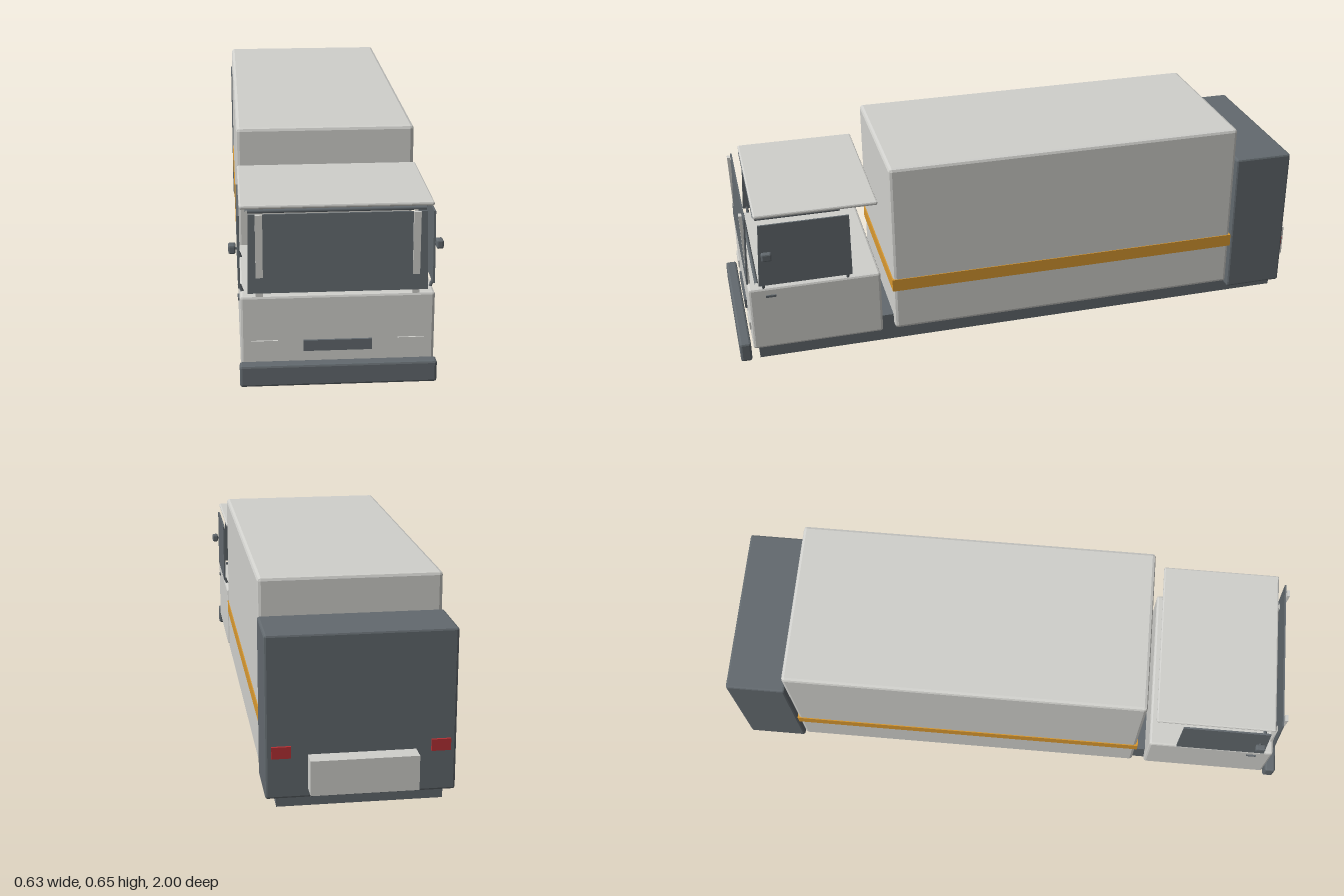
import * as THREE from 'three';
import { RoundedBoxGeometry } from 'three/addons/geometries/RoundedBoxGeometry.js';

const mat = (name, color, side = THREE.FrontSide) => {
  const m = new THREE.MeshStandardMaterial({ color, side });
  m.name = name;
  return m;
};

export function createModel() {
  const model = new THREE.Group();
  model.name = 'truck';
  const light = mat('pale grey', 0xd0d0cc);
  const dark = mat('slate grey', 0x62696e);
  const orange = mat('orange', 0xd89830);
  const red = mat('red', 0xb43034);

  const add = (name, geo, material, parent = model) => {
    const mesh = new THREE.Mesh(geo, material);
    mesh.name = name;
    parent.add(mesh);
    return mesh;
  };

  // Box given by its limits on each axis, with an optional chamfer
  const block = (name, [x0, x1], [y0, y1], [z0, z1], material, bevel = 0) => {
    const size = [x1 - x0, y1 - y0, z1 - z0];
    const geo = bevel ? new RoundedBoxGeometry(...size, 1, bevel) : new THREE.BoxGeometry(...size);
    if (bevel) geo.computeVertexNormals();
    const mesh = add(name, geo, material);
    mesh.position.set((x0 + x1) / 2, (y0 + y1) / 2, (z0 + z1) / 2);
    return mesh;
  };
  const sym = (w) => [-w, w];

  // Thin rod between two points
  const rod = (name, a, b, r) => {
    const curve = new THREE.LineCurve3(new THREE.Vector3(...a), new THREE.Vector3(...b));
    return add(name, new THREE.TubeGeometry(curve, 1, r, 8), dark);
  };

  // Flat plate cut from an outline
  const plate = (name, points, depth) => {
    const shape = new THREE.Shape(points.map(([x, y]) => new THREE.Vector2(x, y)));
    return add(name, new THREE.ExtrudeGeometry(shape, { depth, bevelEnabled: false }), dark);
  };

  // Chassis, cargo body and rear housing
  block('chassis', sym(0.25), [0, 0.095], [-0.91, 0.935], dark);
  block('cargoBody', sym(0.281), [0.055, 0.65], [-0.725, 0.48], light, 0.011);
  block('cargoStripe', sym(0.284), [0.203, 0.246], [-0.728, 0.484], orange);
  block('rearHousing', sym(0.284), [0.033, 0.535], [-0.93, -0.73], dark, 0.007);
  block('rearBox', sym(0.16), [0.068, 0.175], [-1, -0.945], light);

  // Cab body, roof and bumper
  block('cabBody', sym(0.283), [0.055, 0.28], [0.522, 0.955], light, 0.008);
  block('cabRoof', sym(0.281), [0.53, 0.543], [0.52, 0.917], light, 0.005);
  block('frontBumper', sym(0.287), [0.015, 0.082], [0.963, 1], dark, 0.007);
  block('grille', sym(0.1), [0.108, 0.141], [0.953, 0.962], dark);

  // Windscreen, leaning back slightly
  const screen = plate('windscreen', [[-0.261, 0], [0.261, 0], [0.256, 0.235], [-0.256, 0.235]], 0.005);
  screen.position.set(0, 0.29, 0.952);
  screen.rotation.x = -0.05;

  // Cross rails above the cab body and below the roof
  for (const [y, z] of [[0.285, 0.925], [0.524, 0.912]]) {
    rod('crossRail', [-0.258, y, z], [0.258, y, z], 0.006);
  }

  // Parts repeated on both sides
  for (const s of [-1, 1]) {
    const span = (a, b) => (s > 0 ? [a, b] : [-b, -a]);
    block('headlight', span(0.175, 0.253), [0.115, 0.142], [0.953, 0.96], light);
    block('tailLight', span(0.208, 0.266), [0.162, 0.198], [-0.938, -0.929], red);
    block('mirror', span(0.292, 0.313), [0.392, 0.419], [0.872, 0.905], dark, 0.005);
    block('doorHandle', span(0.282, 0.288), [0.247, 0.254], [0.866, 0.9], dark);

    // Side window, drawn as z against y
    const win = plate('sideWindow', [[-0.92, 0.293], [-0.615, 0.293], [-0.615, 0.51], [-0.906, 0.51]], 0.006);
    win.rotation.y = Math.PI / 2;
    win.position.x = s * 0.284 - 0.003;

    rod('mirrorArm', [s * 0.282, 0.405, 0.888], [s * 0.296, 0.405, 0.888], 0.004);
    rod('upperSideRail', [s * 0.258, 0.522, 0.64], [s * 0.258, 0.522, 0.912], 0.006);
    for (const z of [0.63, 0.905]) {
      rod('windowFoot', [s * 0.274, 0.276, z], [s * 0.283, 0.3, z], 0.005);
    }

    // Upright strip that crosses the windscreen plane
    const strip = block('windscreenPillar', span(0.216, 0.237), [0.278, 0.527], [0.946, 0.956], light);
    strip.rotation.x = 0.02;
  }
  return model;
}
